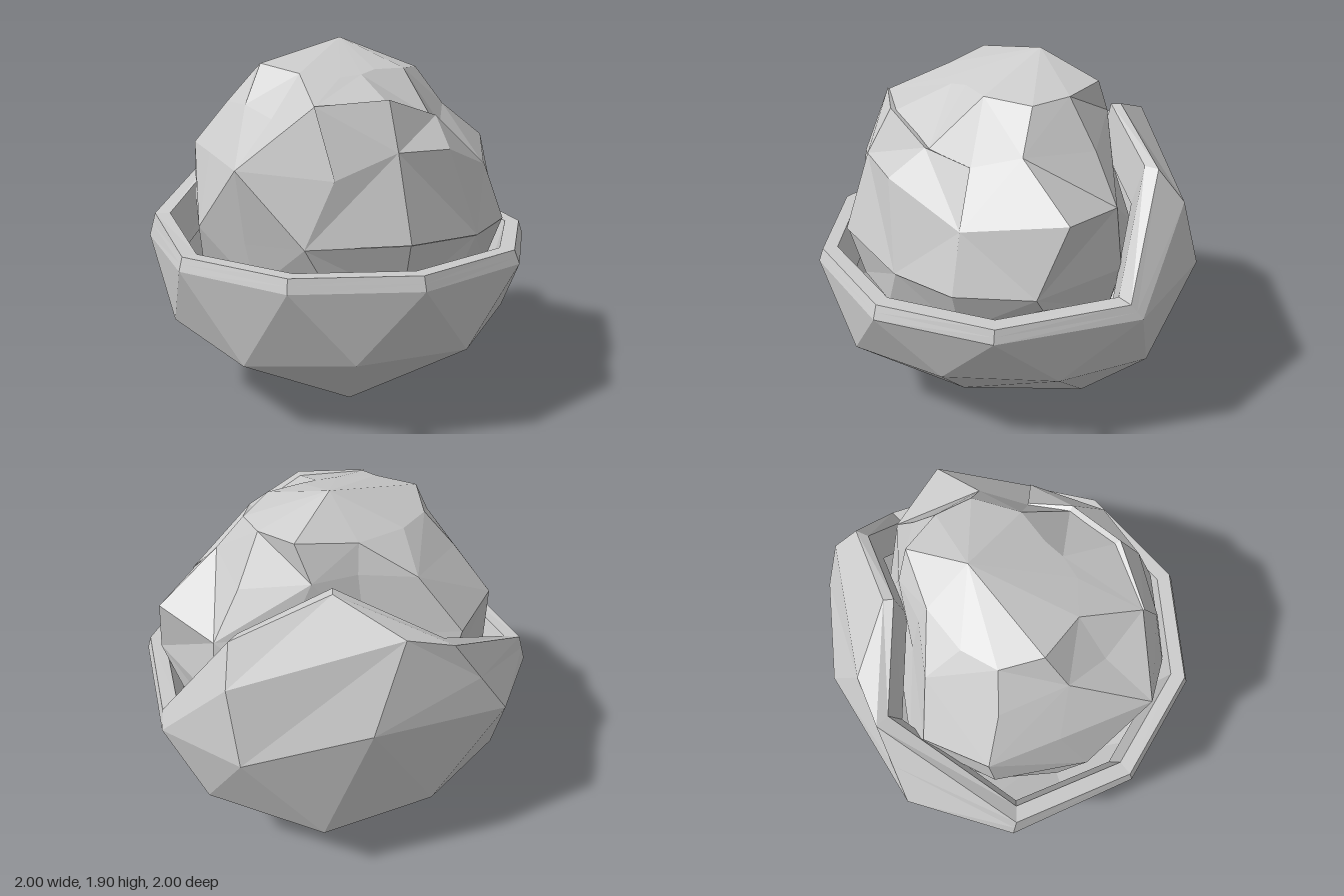
import * as THREE from 'three';

const V = (x, y, z) => new THREE.Vector3(x, y, z);

// Skin a list of rings (bottom to top, running from +z towards +x) with flat triangles
function skin(name, rings, { closed = true, alternate = false } = {}) {
  const pos = [];
  const tri = (a, b, c) => {
    const area = b.clone().sub(a).cross(c.clone().sub(a)).length();
    if (area > 1e-6) for (const p of [a, b, c]) pos.push(p.x, p.y, p.z);
  };
  for (let r = 0; r < rings.length - 1; r++) {
    const a = rings[r], b = rings[r + 1], n = a.length;
    for (let i = 0; i < (closed ? n : n - 1); i++) {
      const j = (i + 1) % n;
      if (alternate && (i + r) % 2) {
        tri(a[i], a[j], b[i]);
        tri(a[j], b[j], b[i]);
      } else {
        tri(a[i], a[j], b[j]);
        tri(a[i], b[j], b[i]);
      }
    }
  }
  const geo = new THREE.BufferGeometry();
  geo.setAttribute('position', new THREE.Float32BufferAttribute(pos, 3));
  geo.computeVertexNormals();
  const mat = new THREE.MeshStandardMaterial({
    color: 0xcccccc, flatShading: true, side: THREE.DoubleSide,
  });
  const mesh = new THREE.Mesh(geo, mat);
  mesh.name = name;
  return mesh;
}

// Outer leaf: faceted bowl, low at the front and rising at the back
function outerLeaf() {
  const foot = [
    V(0.42, 0.13, 0.32), V(0.46, 0, -0.36), V(-0.04, 0, -0.26),
    V(-0.58, 0.17, 0), V(-0.16, 0.08, 0.48),
  ].flatMap((p) => [p, p]);
  const low = [
    V(0.3, 0.43, 0.87), V(0.73, 0.48, 0.5), V(0.92, 0.48, -0.05), V(0.82, 0.44, -0.56), V(0.3, 0.35, -0.9),
    V(-0.3, 0.38, -0.86), V(-0.76, 0.42, -0.6), V(-0.95, 0.44, -0.05), V(-0.73, 0.36, 0.5), V(-0.29, 0.44, 0.87),
  ];
  const belly = [
    V(0, 0.81, 1), V(0.63, 0.81, 0.8), V(0.98, 0.81, 0.3), V(1, 0.83, -0.43), V(0.69, 0.9, -0.86),
    V(0.09, 1.05, -1), V(-0.65, 0.93, -0.87), V(-1, 0.82, -0.42), V(-0.98, 0.81, 0.28), V(-0.6, 0.81, 0.8),
  ];
  const rim = [
    V(0, 0.88, 0.975), V(0.61, 0.88, 0.78), V(0.96, 0.88, 0.29), V(0.98, 0.91, -0.37), V(0.66, 1.44, -0.61),
    V(0.17, 1.6, -0.61), V(-0.34, 1.38, -0.86), V(-0.97, 0.95, -0.39), V(-0.96, 0.88, 0.27), V(-0.59, 0.88, 0.78),
  ];
  // shoulder halfway to the rim, pushed out along the tall back
  const shoulder = belly.map((p, i) => p.clone().lerp(rim[i], 0.5));
  shoulder[4].set(0.71, 1.27, -0.74);
  shoulder[5].set(-0.1, 1.46, -0.86);
  const inset = (s, drop) => rim.map((p) => V(p.x * s, p.y - drop, p.z * s));
  const base = Array(10).fill(V(-0.04, 0, -0.04));
  return skin('outerLeaf', [base, foot, low, belly, shoulder, rim, inset(0.92, 0), inset(0.86, 0.22)]);
}

// Heart: lumpy rings, each with 12 radii and heights starting at the front
const RADII = [
  [0.76, 0.75, 0.78, 0.82, 0.78, 0.7, 0.66, 0.78, 0.78, 0.78, 0.72, 0.76],
  [0.83, 0.8, 0.87, 0.92, 0.84, 0.72, 0.66, 0.82, 0.84, 0.83, 0.77, 0.83],
  [0.68, 0.69, 0.76, 0.91, 0.8, 0.62, 0.56, 0.82, 0.84, 0.73, 0.85, 0.74],
  [0.54, 0.53, 0.52, 0.58, 0.64, 0.56, 0.49, 0.62, 0.64, 0.56, 0.56, 0.63],
  [0.25, 0.22, 0.32, 0.45, 0.48, 0.52, 0.44, 0.45, 0.48, 0.45, 0.37, 0.3],
];
const HEIGHTS = [
  Array(12).fill(0.7),
  [0.98, 0.94, 0.95, 0.97, 0.95, 0.98, 1, 0.96, 1, 0.97, 0.94, 0.97],
  [1.39, 1.38, 1.24, 1.33, 1.28, 1.34, 1.3, 1.3, 1.33, 1.33, 1.32, 1.28],
  [1.62, 1.52, 1.46, 1.54, 1.52, 1.6, 1.6, 1.58, 1.56, 1.58, 1.53, 1.61],
  [1.73, 1.75, 1.75, 1.74, 1.76, 1.78, 1.74, 1.74, 1.74, 1.78, 1.74, 1.72],
];

function heartPoint(row, col, lift = 0) {
  const c = col % 12;
  const angle = (c + 0.16 * Math.sin(row * 3.1 + c * 4.7)) * Math.PI / 6;
  const r = RADII[row][c] + lift;
  return V(Math.sin(angle) * r, HEIGHTS[row][c] + lift * 0.5, Math.cos(angle) * r);
}

function heart() {
  const rings = RADII.map((radii, row) => radii.map((_, c) => heartPoint(row, c)));
  rings.push(Array(12).fill(V(0.06, 1.9, -0.2)));
  return skin('heart', rings, { alternate: true });
}

// Front leaf: grows out of the heart at its sides and stands off along its top edge
function frontLeaf() {
  const firstCol = 11, lastCol = 14, topRow = 3;
  const rings = [];
  for (let row = 1; row <= topRow; row++) {
    const ring = [];
    for (let c = firstCol; c <= lastCol; c++) {
      const spread = Math.sin(Math.PI * (c - firstCol + 0.3) / (lastCol - firstCol + 0.6));
      ring.push(heartPoint(row, c, 0.03 * spread * row / topRow));
    }
    rings.push(ring);
  }
  // folded top edge
  rings.push(rings[rings.length - 1].map((p) => V(p.x * 0.86, p.y - 0.04, p.z * 0.86)));
  return skin('frontLeaf', rings, { closed: false, alternate: true });
}

export function createModel() {
  const group = new THREE.Group();
  group.name = 'leafyHead';
  group.add(outerLeaf(), heart(), frontLeaf());
  return group;
}
